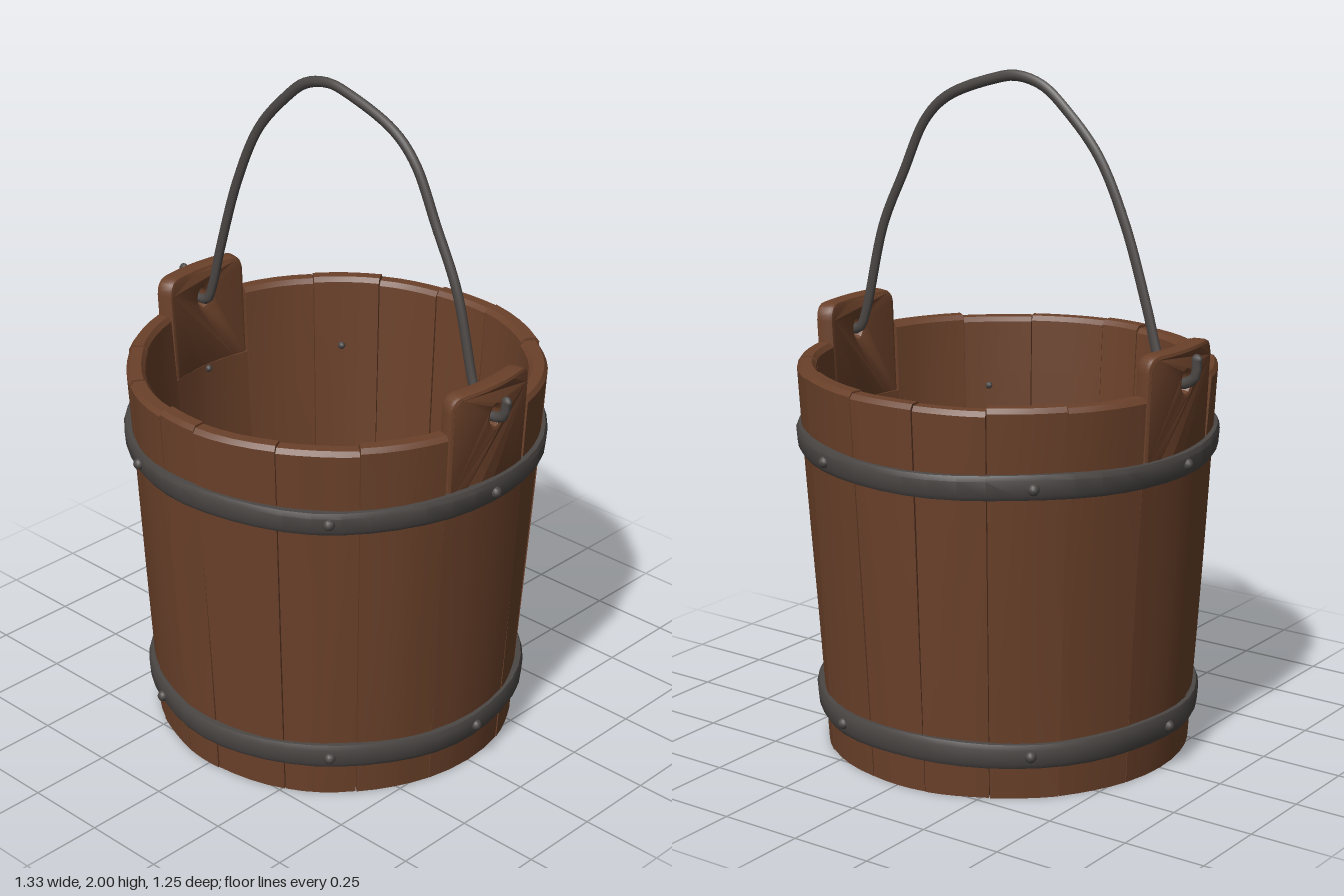
import * as THREE from 'three';
import { toCreasedNormals } from 'three/addons/utils/BufferGeometryUtils.js';

const wood = new THREE.MeshStandardMaterial({ color: 0x6b412a });
const metal = new THREE.MeshStandardMaterial({ color: 0x4b4745 });
wood.name = 'brown wood';
metal.name = 'dark iron';

const RIM = 1.16, WALL = 0.055;
const rad = THREE.MathUtils.degToRad;
// outer radius of the tapered wall at height y
const outer = (y) => 0.545 + 0.07 * Math.min(y, RIM) / RIM;

function add(parent, name, geometry, material) {
  const mesh = new THREE.Mesh(geometry, material);
  mesh.name = name;
  parent.add(mesh);
  return mesh;
}

// Rewrites every vertex with a rule, then sharpens only the hard edges
function warp(geometry, rule) {
  const p = geometry.attributes.position;
  const v = new THREE.Vector3();
  for (let i = 0; i < p.count; i++) {
    rule(v.fromBufferAttribute(p, i));
    p.setXYZ(i, v.x, v.y, v.z);
  }
  geometry.computeVertexNormals();
  return toCreasedNormals(geometry, 0.5);
}

// Curved plank between two angles, with a chamfered, slightly uneven top
function staveGeometry(a0, a1, top, seed, bevel) {
  const rows = 8;
  return warp(new THREE.BoxGeometry(1, 1, 1, 4, rows, 1), (v) => {
    const row = Math.round((v.y + 0.5) * rows);
    const y = row === rows ? top : (top - bevel) * row / (rows - 1);
    const edge = row === rows ? bevel * 0.8 : 0;
    const a = (a0 + a1) / 2 + v.x * (a1 - a0 - 0.005);
    // shallow hand-cut dents
    const dent = 0.004 * Math.sin(seed * 2.3 + v.x * 3) * Math.sin(y * 3 + seed);
    const r = v.z > 0 ? outer(y) + dent - edge : outer(y) - WALL + dent + edge;
    v.set(r * Math.sin(a), y, r * Math.cos(a));
  });
}

// Raised ear with rounded corners and a hole, bent round the wall
function earGeometry(angle, half) {
  const y0 = 0.94, y1 = 1.27, c = 0.05, b = 0.012;
  const s = new THREE.Shape();
  s.moveTo(-half, y0);
  for (let i = 1; i <= 6; i++) s.lineTo(-half + half * i / 3, y0);
  s.lineTo(half, y1 - c);
  s.quadraticCurveTo(half, y1, half - c, y1);
  for (let i = 1; i <= 6; i++) s.lineTo((half - c) * (1 - i / 3), y1);
  s.quadraticCurveTo(-half, y1, -half, y1 - c);
  s.closePath();
  const hole = new THREE.Path();
  hole.absellipse(0, 1.17, 0.022, 0.03, 0, Math.PI * 2, true);
  s.holes.push(hole);
  const g = new THREE.ExtrudeGeometry(s, {
    depth: WALL - 2 * b, bevelThickness: b, bevelSize: b, bevelOffset: -b,
    bevelSegments: 2, curveSegments: 6,
  });
  return warp(g, (v) => {
    const a = angle + v.x / 0.61, r = outer(v.y) - WALL + b + v.z;
    v.set(r * Math.sin(a), v.y, r * Math.cos(a));
  });
}

// Slightly hammered iron band around the wall
function hoopGeometry(y, height, seed) {
  const h = height / 2, r = outer(y);
  const profile = [[-0.006, -h], [0.012, -h], [0.02, -h * 0.6], [0.021, h * 0.6],
    [0.014, h], [-0.006, h], [-0.006, -h]].map(([x, dy]) => new THREE.Vector2(r + x + dy * 0.06, y + dy));
  return warp(new THREE.LatheGeometry(profile, 48), (v) => {
    const a = Math.atan2(v.x, v.z);
    v.y += 0.004 * Math.sin(a * 5 + seed) * (v.y > y ? 1 : 0.6);
    const k = 1 + 0.003 * Math.sin(a * 9 + seed * 2);
    v.x *= k;
    v.z *= k;
  });
}

export function createModel() {
  const model = new THREE.Group();
  model.name = 'bucket';

  // Wall staves: front and back runs between the two ears
  const staves = new THREE.Group();
  staves.name = 'staves';
  model.add(staves);
  const runs = [[-74, -52, -30, -9.5, 4, 28, 50, 74], [106, 124, 145, 170, 190, 210, 231, 254]];
  runs.forEach((run, k) => {
    for (let i = 0; i < run.length - 1; i++) {
      const top = RIM - 0.004 * ((i + k) % 3);
      add(staves, 'stave', staveGeometry(rad(run[i]), rad(run[i + 1]), top, i + k * 7, 0.014), wood);
    }
  });

  // Long staves carrying the handle ears
  for (const side of [-1, 1]) {
    const a = side * Math.PI / 2;
    add(staves, 'earStave', staveGeometry(a - rad(16), a + rad(16), 0.95, 0, 0.001), wood);
    add(staves, 'handleEar', earGeometry(a, 0.166), wood);
  }

  // Floor planks, cut to a circle
  const floor = new THREE.Group();
  floor.name = 'floor';
  model.add(floor);
  const R = 0.495;
  const cuts = [-R, -0.31, -0.1, 0.1, 0.28, R];
  for (let i = 0; i < cuts.length - 1; i++) {
    const x0 = cuts[i] + 0.0015, x1 = cuts[i + 1] - 0.0015;
    const arc = [];
    for (let j = 0; j <= 10; j++) {
      const x = x0 + (x1 - x0) * j / 10;
      arc.push(new THREE.Vector2(x, Math.sqrt(Math.max(0, R * R - x * x))));
    }
    const outline = [...arc.map((p) => new THREE.Vector2(p.x, -p.y)), ...arc.reverse()];
    const g = new THREE.ExtrudeGeometry(new THREE.Shape(outline), { depth: 0.045, bevelEnabled: false });
    g.rotateX(-Math.PI / 2);
    add(floor, 'floorPlank', g, wood).position.y = 0.05 + 0.003 * (i % 2);
  }
  // Thin iron edging where floor meets wall
  const edging = new THREE.TorusGeometry(0.489, 0.007, 6, 48).rotateX(Math.PI / 2);
  add(floor, 'floorEdging', edging, metal).position.y = 0.1;

  // Hoops with rivets passing through the wall
  const rivetAngles = [-21.5, 42, 90, 159, 222, 270];
  [[0.935, 0.072, 1], [0.137, 0.075, 4]].forEach(([y, height, seed]) => {
    add(model, 'hoop', hoopGeometry(y, height, seed), metal);
    for (const deg of rivetAngles) {
      const rivet = new THREE.Group();
      rivet.name = 'rivet';
      rivet.rotation.y = rad(deg);
      rivet.position.y = y;
      const head = add(rivet, 'rivetHead', new THREE.SphereGeometry(0.017, 10, 8), metal);
      head.position.z = outer(y) + 0.02;
      const tip = add(rivet, 'rivetTip', new THREE.SphereGeometry(0.012, 8, 6), metal);
      tip.position.z = outer(y) - WALL;
      model.add(rivet);
    }
  });

  // Hand-bent handle hooked through both ears
  const path = [[-0.645, 1.24], [-0.64, 1.19], [-0.6, 1.165], [-0.545, 1.17], [-0.52, 1.22], [-0.48, 1.36],
    [-0.4, 1.6], [-0.31, 1.78], [-0.2, 1.9], [-0.12, 1.962], [-0.03, 1.984], [0.05, 1.97], [0.22, 1.905],
    [0.3, 1.83], [0.38, 1.67], [0.46, 1.5], [0.53, 1.23], [0.555, 1.175], [0.6, 1.165], [0.64, 1.18], [0.65, 1.225]]
    .map(([x, y]) => new THREE.Vector3(x, y, 0));
  const curve = new THREE.CatmullRomCurve3(path);
  const handle = new THREE.Group();
  handle.name = 'handle';
  handle.scale.z = 0.75;
  model.add(handle);
  add(handle, 'handleBar', new THREE.TubeGeometry(curve, 100, 0.016, 8), metal);
  for (const end of [path[0], path[path.length - 1]]) {
    add(handle, 'hookTip', new THREE.SphereGeometry(0.017, 8, 6), metal).position.copy(end);
  }
  return model;
}
